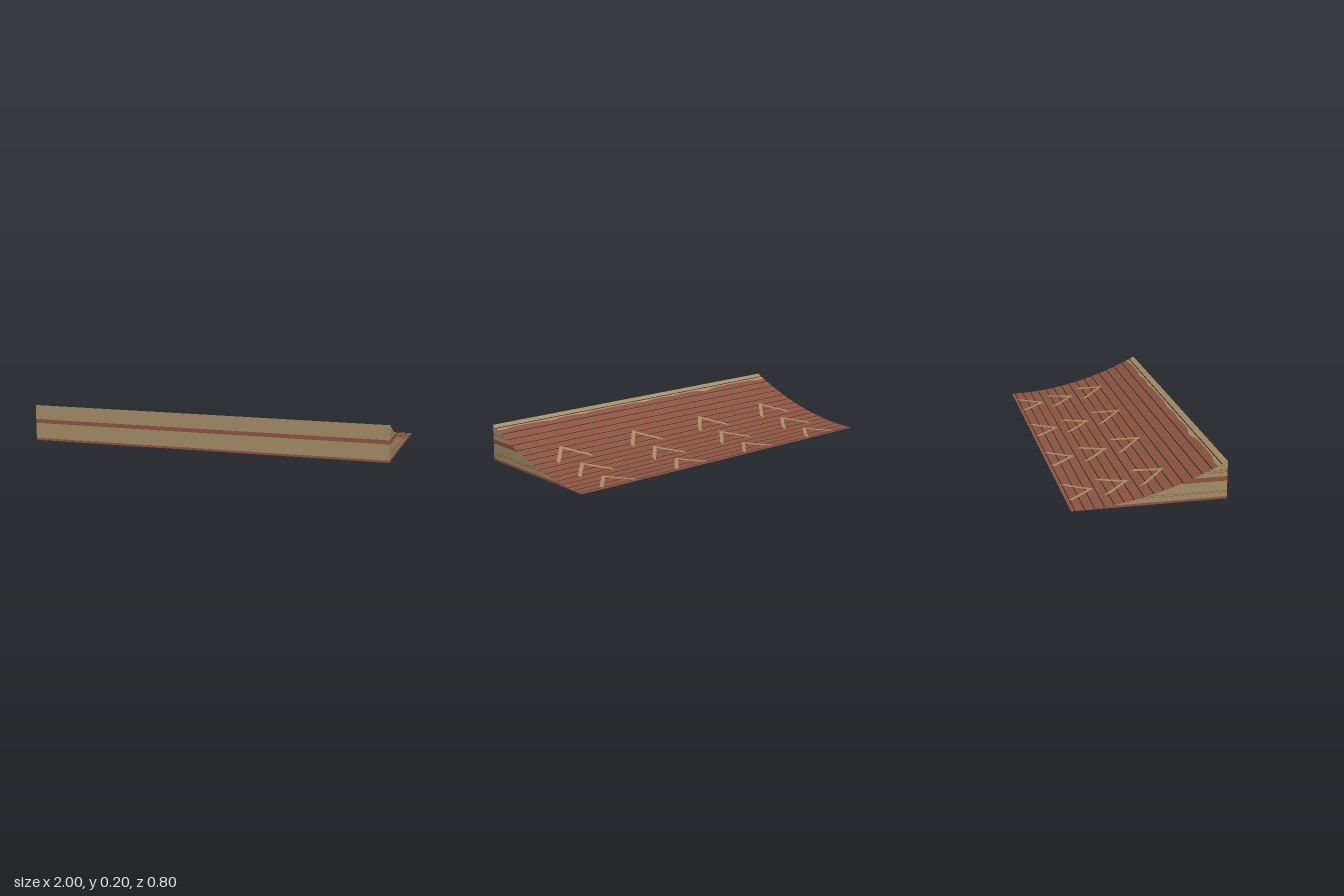
import * as THREE from 'three';
import { ParametricGeometry } from 'three/addons/geometries/ParametricGeometry.js';

// Ramp profile: a parabola rising from the back edge to the front edge
const heightAt = z => 0.2 * ((z + 0.4) / 0.8) ** 2;
const depthAt = y => -0.4 + 0.8 * Math.sqrt(y / 0.2);
const lerp = THREE.MathUtils.lerp;

const colour = (name, color) => {
  const m = new THREE.MeshStandardMaterial({ color });
  m.name = name;
  return m;
};

export function createModel() {
  const model = new THREE.Group();
  model.name = 'curvedRamp';
  const tan = colour('tan', 0xa38c68);
  const brown = colour('redBrown', 0x8b5340);
  const dark = colour('darkSeam', 0x2e2b28);
  const sand = colour('sand', 0xa88a64);

  const add = (name, geometry, material) => {
    const mesh = new THREE.Mesh(geometry, material);
    mesh.name = name;
    model.add(mesh);
  };

  // Patch lying on the ramp, between two z edges given as functions of x
  const rampPatch = (name, material, x0, x1, back, front, lift, nz, nx) =>
    add(name, new ParametricGeometry((u, v, p) => {
      const x = lerp(x0, x1, v);
      const z = lerp(back(x), front(x), u);
      p.set(x, heightAt(z) + lift, z);
    }, nz, nx), material);

  // Riding surface, ending in a wavy worn edge below the tan lip
  const bumps = [[-0.95, 0.012, 0.06], [-0.5, 0.016, 0.06], [-0.02, 0.009, 0.04],
    [0.42, 0.006, 0.05], [0.65, 0.009, 0.04], [0.97, 0.009, 0.04], [-0.24, 0.005, 0.04]];
  const wornEdge = x => bumps.reduce(
    (z, [c, h, w]) => z - h * Math.exp(-(((x - c) / w) ** 2)), 0.36);
  rampPatch('rampSurface', brown, -1, 1, () => -0.4, wornEdge, 0, 40, 80);
  rampPatch('frontLip', tan, -1, 1, wornEdge, () => 0.4, 0, 3, 80);

  // Plank seams across the ramp
  for (let i = 0; i < 16; i++) {
    const z = -0.38 + i * 0.05;
    rampPatch('plankSeam', dark, -1, 1, () => z - 0.0025, () => z + 0.0025, 0.001, 1, 1);
  }

  // Painted chevrons, two mirrored arms each
  for (const cx of [-0.75, -0.25, 0.25, 0.75]) {
    for (const tip of [-0.235, -0.05, 0.138]) {
      const front = x => tip - Math.abs(x - cx) * 1.15;
      const back = x => front(x) - 0.03;
      rampPatch('chevronArm', sand, cx - 0.11, cx, back, front, 0.0025, 2, 10);
      rampPatch('chevronArm', sand, cx, cx + 0.11, back, front, 0.0025, 2, 10);
    }
  }

  // Side walls: horizontal bands cut off by the curve
  const sideBands = [[0, 0.012, brown], [0.012, 0.035, tan], [0.035, 0.037, brown],
    [0.037, 0.044, tan], [0.044, 0.046, brown], [0.046, 0.096, tan], [0.096, 0.12, brown],
    [0.12, 0.142, tan], [0.142, 0.144, brown], [0.144, 0.15, tan], [0.15, 0.152, brown],
    [0.152, 0.2, tan]];
  for (const x of [-1, 1]) {
    for (const [y0, y1, material] of sideBands) {
      const geometry = new ParametricGeometry((u, v, p) => {
        const y = lerp(Math.sqrt(y0), Math.sqrt(y1), u) ** 2;
        p.set(x, y, lerp(0.4, depthAt(y), x < 0 ? v : 1 - v));
      }, 10, 1);
      geometry.computeVertexNormals();
      add(x < 0 ? 'rightSideBand' : 'leftSideBand', geometry, material);
    }
  }

  // Front wall bands
  for (const [y0, y1, material] of [[0, 0.012, brown], [0.012, 0.098, tan],
    [0.098, 0.12, brown], [0.12, 0.2, tan]]) {
    const geometry = new THREE.PlaneGeometry(2, y1 - y0);
    geometry.translate(0, (y0 + y1) / 2, 0.4);
    add('frontBand', geometry, material);
  }

  // Underside
  const base = new THREE.PlaneGeometry(2, 0.8);
  base.rotateX(Math.PI / 2);
  add('underside', base, tan);

  return model;
}
